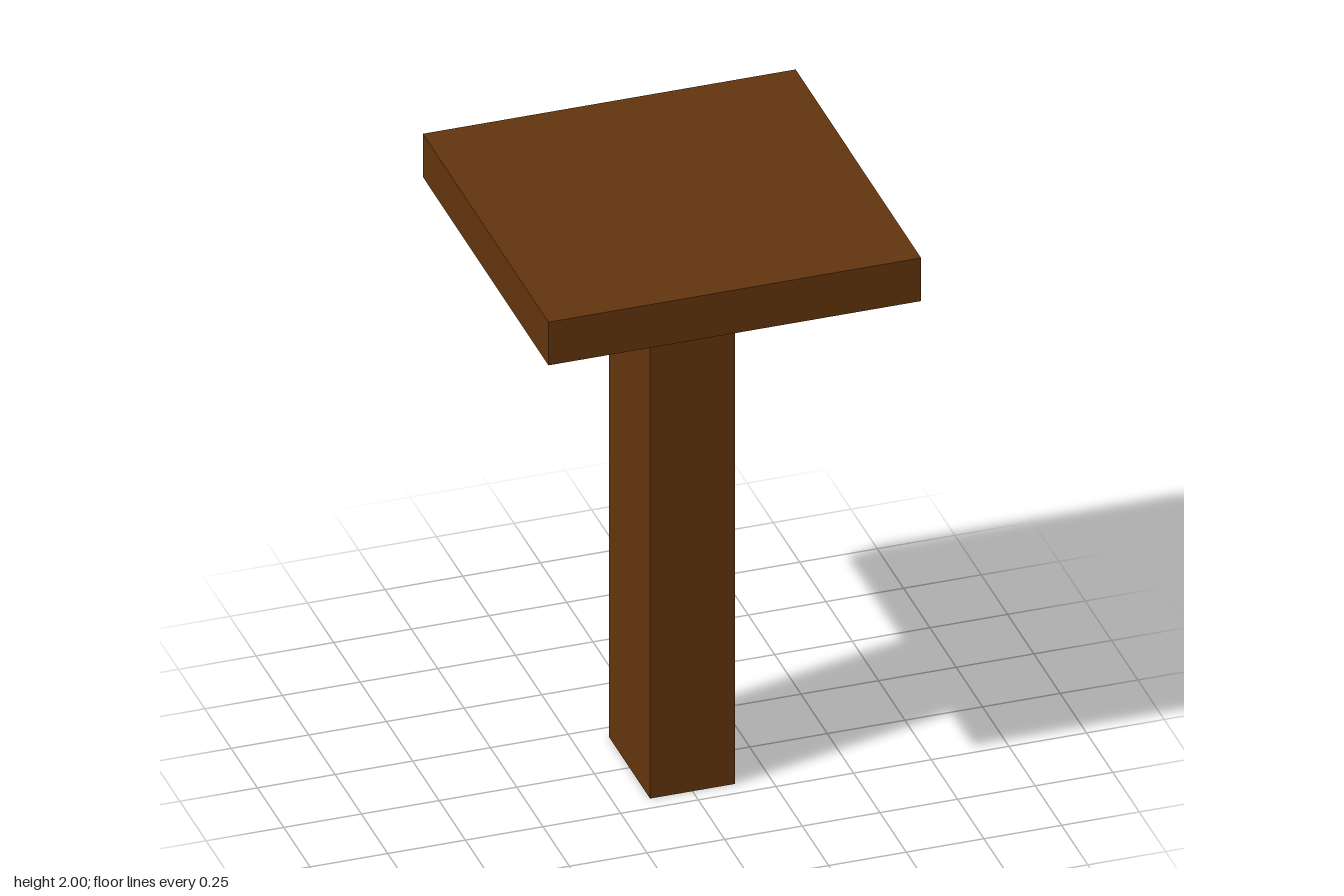
import * as THREE from 'three';

export function createModel() {
  const model = new THREE.Group();
  model.name = 'pedestalTable';

  const brownWood = new THREE.MeshStandardMaterial({ color: 0x62340d });
  brownWood.name = 'brownWood';

  // Adds a box whose underside sits at the given height
  const addBox = (name, width, height, depth, bottom) => {
    const mesh = new THREE.Mesh(new THREE.BoxGeometry(width, height, depth), brownWood);
    mesh.name = name;
    mesh.position.y = bottom + height / 2;
    model.add(mesh);
  };

  const postHeight = 1.847;
  addBox('post', 0.274, postHeight, 0.39, 0); // rectangular post, deeper than wide
  addBox('top', 1.2, 2 - postHeight, 1.192, postHeight); // square slab

  return model;
}
